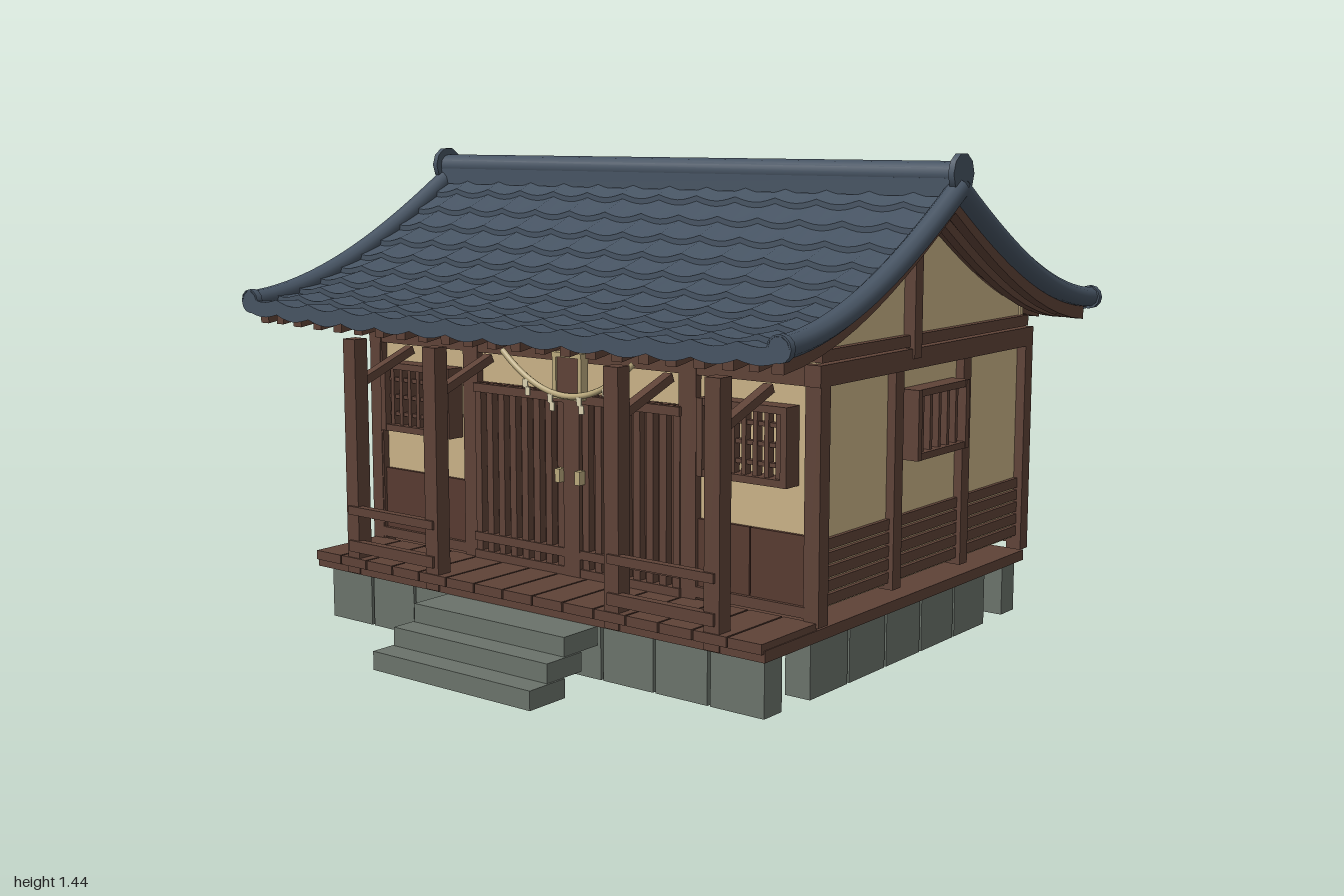
import * as THREE from 'three';

const mat = (name, color, extra = {}) => Object.assign(new THREE.MeshStandardMaterial({ color, ...extra }), { name });
const wood = mat('wood', 0x5e4237);
const panelWood = mat('panel wood', 0x573a30);
const plaster = mat('plaster', 0xc8b186, { side: THREE.DoubleSide });
const tile = mat('roof tile', 0x465362, { side: THREE.DoubleSide });
const stone = mat('stone', 0x6a726a);
const straw = mat('straw', 0xb9a87c);
const paper = mat('paper', 0xd9cfae);

const RIDGE_Z = -0.075, EAVE = 0.855;
// Roof height at distance d from the ridge, with slightly lifted corners
const roofY = (d, x = 0) => 1.342 - 0.66 * d + 0.112 * d * d + 0.172 * d ** 3 + 0.02 * x ** 4 * (d / EAVE) ** 2;

function add(parent, name, geo, material, x = 0, y = 0, z = 0) {
  const m = new THREE.Mesh(geo, material);
  m.name = name;
  m.position.set(x, y, z);
  parent.add(m);
  return m;
}
// Box given by its limits
const box = (p, name, material, x0, x1, y0, y1, z0, z1) =>
  add(p, name, new THREE.BoxGeometry(x1 - x0, y1 - y0, z1 - z0), material, (x0 + x1) / 2, (y0 + y1) / 2, (z0 + z1) / 2);

function group(parent, name, x = 0, z = 0, ry = 0) {
  const g = new THREE.Group();
  g.name = name;
  g.position.set(x, 0, z);
  g.rotation.y = ry;
  parent.add(g);
  return g;
}

// Surface from fn(u, v) -> [x, y, z]
function grid(fn, nu, nv, flip) {
  const pos = [], idx = [];
  for (let j = 0; j <= nv; j++) for (let i = 0; i <= nu; i++) pos.push(...fn(i / nu, j / nv));
  for (let j = 0; j < nv; j++) for (let i = 0; i < nu; i++) {
    const a = j * (nu + 1) + i, b = a + 1, c = a + nu + 1, d = c + 1;
    idx.push(...(flip ? [a, b, c, b, d, c] : [a, c, b, b, c, d]));
  }
  const g = new THREE.BufferGeometry();
  g.setAttribute('position', new THREE.Float32BufferAttribute(pos, 3));
  g.setIndex(idx);
  g.computeVertexNormals();
  return g;
}

// Lattice window standing proud of a wall
function latticeWindow(p, u, w, y0, y1, bars, rails) {
  const g = group(p, 'latticeWindow', u);
  const h = w / 2, t = 0.02;
  for (const s of [-1, 1]) box(g, 'windowJamb', wood, s * (h - t / 2) - t / 2, s * (h - t / 2) + t / 2, y0, y1, 0, 0.06);
  box(g, 'windowHead', wood, -h, h, y1 - t, y1, 0, 0.058);
  box(g, 'windowSill', wood, -h, h, y0, y0 + t, 0, 0.058);
  for (let i = 1; i <= bars; i++) {
    const x = -h + (w * i) / (bars + 1);
    box(g, 'windowBar', wood, x - 0.007, x + 0.007, y0, y1, 0.02, 0.045);
  }
  for (let i = 1; i <= rails; i++) {
    const y = y0 + ((y1 - y0) * i) / (rails + 1);
    box(g, 'windowRail', wood, -h, h, y - 0.006, y + 0.006, 0.02, 0.04);
  }
}

// Plaster bay with a boarded lower half
function panelledBay(p, u0, u1) {
  box(p, 'plasterPanel', plaster, u0, u1, 0.43, 0.97, -0.02, 0);
  const mid = (u0 + u1) / 2;
  box(p, 'wainscot', panelWood, u0, mid - 0.002, 0.235, 0.44, -0.02, 0.012);
  box(p, 'wainscot', panelWood, mid + 0.002, u1, 0.235, 0.44, -0.02, 0.012);
  box(p, 'baseRail', wood, u0, u1, 0.22, 0.25, -0.02, 0.024);
}
const post = (p, u, w = 0.044) => box(p, 'wallPost', wood, u - w / 2, u + w / 2, 0.2, 0.88, -0.022, 0.024);

function buildBase(root) {
  const g = group(root, 'foundation');
  const step = 1.64 / 9;
  for (let i = 0; i < 9; i++) {
    const x = -0.82 + i * step;
    for (const z of [0.57, -0.72]) box(g, 'foundationStone', stone, x + 0.005, x + step - 0.005, 0, 0.162, z - 0.04, z + 0.04);
  }
  for (const s of [-1, 1]) for (let i = 0; i < 5; i++) {
    const z = 0.41 - i * 0.194;
    box(g, 'foundationStone', stone, s * 0.78 - 0.04, s * 0.78 + 0.04, 0, 0.162, z - 0.189, z - 0.005);
  }
  for (let i = 0; i < 3; i++)
    box(g, 'stoneStep', stone, -0.295 + i * 0.006, 0.295 - i * 0.006, i * 0.054, (i + 1) * 0.054, 0.79 - i * 0.075, 0.93 - i * 0.075);

  box(g, 'floor', wood, -0.84, 0.84, 0.162, 0.194, -0.77, 0.645);
  for (let i = 0; i < 15; i++) {
    const x = -0.84 + i * 0.112;
    box(g, 'deckPlank', wood, x + 0.003, x + 0.109, 0.185, 0.213, 0.4, 0.655);
  }
}

function buildWalls(root) {
  // Front wall
  const front = group(root, 'frontWall', 0, 0.383);
  for (const s of [-1, 1]) {
    panelledBay(front, Math.min(s * 0.41, s * 0.82), Math.max(s * 0.41, s * 0.82));
    latticeWindow(front, s * 0.615, 0.295, 0.57, 0.785, 7, 3);
    post(front, s * 0.823);
    post(front, s * 0.41, 0.06);
  }
  box(front, 'plasterPanel', plaster, -0.4, 0.4, 0.74, 0.97, -0.02, 0);
  // Sliding lattice doors
  const door = group(front, 'latticeDoors');
  box(door, 'doorPanel', panelWood, -0.39, 0.39, 0.21, 0.75, -0.02, 0.004);
  for (let i = 0; i <= 16; i++) {
    const x = -0.376 + i * 0.047;
    box(door, 'doorSlat', wood, x - 0.012, x + 0.012, 0.22, 0.75, 0, 0.028);
  }
  for (const y of [0.225, 0.28, 0.735]) box(door, 'doorRail', wood, -0.39, 0.39, y - 0.013, y + 0.013, 0, 0.034);
  box(door, 'centreStile', wood, -0.03, 0.03, 0.2, 0.76, 0, 0.036);
  for (const s of [-1, 1]) box(door, 'doorPull', straw, s * 0.038 - 0.009, s * 0.038 + 0.009, 0.49, 0.53, 0.03, 0.055);

  // Back wall
  const back = group(root, 'backWall', 0, -0.762, Math.PI);
  for (let i = -2; i < 2; i++) panelledBay(back, i * 0.41, (i + 1) * 0.41);
  for (let i = -2; i <= 2; i++) post(back, i * 0.411);
  for (const s of [-1, 1]) latticeWindow(back, s * 0.205, 0.29, 0.57, 0.785, 7, 3);
  for (const w of [front, back]) box(w, 'topBeam', wood, -0.845, 0.845, 0.84, 0.893, -0.02, 0.022);

  // Side walls with gables
  for (const s of [-1, 1]) {
    const side = group(root, 'sideWall', s * 0.815, 0, s * Math.PI / 2);
    const U = (z) => -s * z;
    const span = (name, m, za, zb, y0, y1, n0, n1) =>
      box(side, name, m, Math.min(U(za), U(zb)), Math.max(U(za), U(zb)), y0, y1, n0, n1);
    span('plasterPanel', plaster, 0.37, -0.75, 0.237, 0.88, -0.02, 0);
    for (let i = 0; i < 5; i++) span('sidingBoard', wood, 0.37, -0.75, 0.245 + i * 0.038, 0.275 + i * 0.038, 0, 0.012);
    for (const z of [0.383, 0.003, -0.38, -0.762]) span('wallPost', wood, z + 0.022, z - 0.022, z === 0.383 || z === -0.762 ? 0.2 : 0.225, 0.88, -0.02, 0.026);
    span('sideBeam', wood, 0.41, -0.785, 0.84, 0.898, -0.02, 0.03);
    span('upperBeam', wood, 0.39, -0.765, 0.902, 0.935, -0.02, 0.022);
    span('gablePost', wood, RIDGE_Z + 0.02, RIDGE_Z - 0.02, 0.87, 1.31, -0.01, 0.036);
    latticeWindow(side, U(-0.188), 0.29, 0.585, 0.785, 5, 0);
    const shape = new THREE.Shape();
    shape.moveTo(U(0.385), 0.88);
    for (let i = 0; i <= 24; i++) {
      const z = 0.385 - (i / 24) * 1.147;
      shape.lineTo(U(z), roofY(Math.abs(z - RIDGE_Z)) - 0.035);
    }
    shape.lineTo(U(-0.762), 0.88);
    add(side, 'gable', new THREE.ExtrudeGeometry(shape, { depth: 0.02, bevelEnabled: false }), plaster, 0, 0, -0.02);
  }
}

function buildPorch(root) {
  const g = group(root, 'porch');
  for (const s of [-1, 1]) {
    for (const x of [0.34, 0.675]) {
      box(g, 'porchPost', wood, s * x - 0.025, s * x + 0.025, 0.165, 0.88, 0.6, 0.65);
      const brace = add(g, 'porchBrace', new THREE.BoxGeometry(0.03, 0.025, 0.23), wood, s * x, 0.785, 0.505);
      brace.rotation.x = 0.36;
    }
    const c = s * 0.508;
    for (const [y, h] of [[0.36, 0.026], [0.25, 0.034]])
      box(g, 'railing', wood, c - 0.178, c + 0.178, y - h / 2, y + h / 2, 0.632, 0.658);
  }
}

function buildRoof(root) {
  const g = group(root, 'roof');
  const ROWS = 10, COLS = 14, W = 0.985;
  const sag = (u) => -0.014 * Math.sin(Math.PI * ((u * COLS) % 1));
  for (const s of [1, -1]) {
    const at = (u, d, dy) => {
      const x = (u * 2 - 1) * W;
      return [x, roofY(d, x) + dy, RIDGE_Z + s * d];
    };
    // Overlapping tile courses, each with a front lip
    for (let r = 0; r < ROWS; r++) {
      const d0 = (r / ROWS) * EAVE, d1 = ((r + 1) / ROWS) * EAVE;
      const lip = r === ROWS - 1 ? 0.045 : 0.03;
      add(g, 'tileCourse', grid((u, v) => at(u, d0 + (d1 - d0) * v, sag(u) + 0.004 + 0.016 * v), COLS * 6, 2, s < 0), tile);
      add(g, 'tileLip', grid((u, v) => at(u, d1, sag(u) + 0.02 - lip * v), COLS * 6, 1, s < 0), tile);
    }
    add(g, 'tileUnderside', grid((u, v) => at(u, EAVE - 0.04 + 0.04 * v, -0.022), 20, 1, s > 0), tile);
    // Boarded underside
    add(g, 'soffit', grid((u, v) => at(0.012 + u * 0.976, v * (EAVE - 0.02), -0.028), 20, 12, s > 0), wood);
    // Rafters and barge boards
    const rafter = (name, x, a, b, w, h) => {
      const top = [], low = [];
      for (let i = 0; i <= 10; i++) {
        const d = a + ((b - a) * i) / 10;
        top.push(new THREE.Vector2(d, roofY(d, x) - 0.026));
        low.unshift(new THREE.Vector2(d, roofY(d, x) - 0.026 - h));
      }
      const geo = new THREE.ExtrudeGeometry(new THREE.Shape([...top, ...low]), { depth: w, bevelEnabled: false });
      geo.translate(0, 0, -w / 2);
      geo.rotateY(-s * Math.PI / 2);
      add(g, name, geo, wood, x, 0, RIDGE_Z);
    };
    for (let i = -9; i <= 9; i++) rafter('rafter', i * 0.088, 0.4, 0.82, 0.034, 0.035);
    for (const x of [-0.94, 0.94]) rafter('bargeBoard', x, 0, 0.82, 0.035, 0.04);
    for (const x of [-0.87, 0.87]) rafter('vergeRafter', x, 0, 0.82, 0.03, 0.035);
    // Rounded verge tiles
    for (const x of [-0.966, 0.966]) {
      const pts = [];
      for (let i = 0; i <= 10; i++) pts.push(new THREE.Vector3(x, roofY((i / 10) * EAVE, x) + 0.002, RIDGE_Z + (s * i * EAVE) / 10));
      add(g, 'vergeTile', new THREE.TubeGeometry(new THREE.CatmullRomCurve3(pts), 24, 0.031, 10), tile);
      const end = add(g, 'vergeCap', new THREE.CylinderGeometry(0.036, 0.036, 0.02, 12), tile, x, roofY(EAVE, x) + 0.002, RIDGE_Z + s * (EAVE - 0.01));
      end.rotation.x = Math.PI / 2;
    }
  }
  // Ridge cap with end discs
  const ridge = add(g, 'ridgeCap', new THREE.CylinderGeometry(0.036, 0.036, 1.95, 12), tile, 0, 1.38, RIDGE_Z);
  ridge.rotation.z = Math.PI / 2;
  box(g, 'ridgeBase', tile, -0.975, 0.975, 1.32, 1.37, RIDGE_Z - 0.034, RIDGE_Z + 0.034);
  for (const x of [-0.972, 0.972]) {
    const disc = add(g, 'ridgeEnd', new THREE.CylinderGeometry(0.057, 0.057, 0.018, 10), tile, x, 1.382, RIDGE_Z);
    disc.rotation.z = Math.PI / 2;
  }
}

function buildOrnaments(root) {
  const g = group(root, 'ornaments', 0, 0.425);
  // Sagging straw rope with paper streamers
  const ropeY = (x) => 0.745 + 1.85 * x * x;
  const pts = [];
  for (let i = -6; i <= 6; i++) pts.push(new THREE.Vector3(i * 0.0415, ropeY(i * 0.0415), 0.012));
  add(g, 'strawRope', new THREE.TubeGeometry(new THREE.CatmullRomCurve3(pts), 36, 0.009, 8), straw);
  for (const x of [-0.15, -0.055, 0.055, 0.15]) for (let i = 0; i < 2; i++) {
    const cx = x + (i ? 0.007 : -0.003), y = ropeY(x) - 0.004 - i * 0.022;
    box(g, 'paperStreamer', paper, cx - 0.009, cx + 0.009, y - 0.025, y, 0.016 + i * 0.002, 0.02 + i * 0.002);
  }
  // Framed plaque over the doors
  box(g, 'plaque', wood, -0.045, 0.045, 0.75, 0.86, -0.02, 0.006);
  for (const s of [-1, 1]) box(g, 'plaqueFrame', straw, s * 0.048 - 0.007, s * 0.048 + 0.007, 0.735, 0.87, -0.018, 0.012);
  for (const y of [0.742, 0.863]) box(g, 'plaqueFrame', straw, -0.055, 0.055, y - 0.007, y + 0.007, -0.018, 0.014);
}

export function createModel() {
  const root = new THREE.Group();
  root.name = 'timberHall';
  buildBase(root);
  buildWalls(root);
  buildPorch(root);
  buildRoof(root);
  buildOrnaments(root);
  return root;
}
